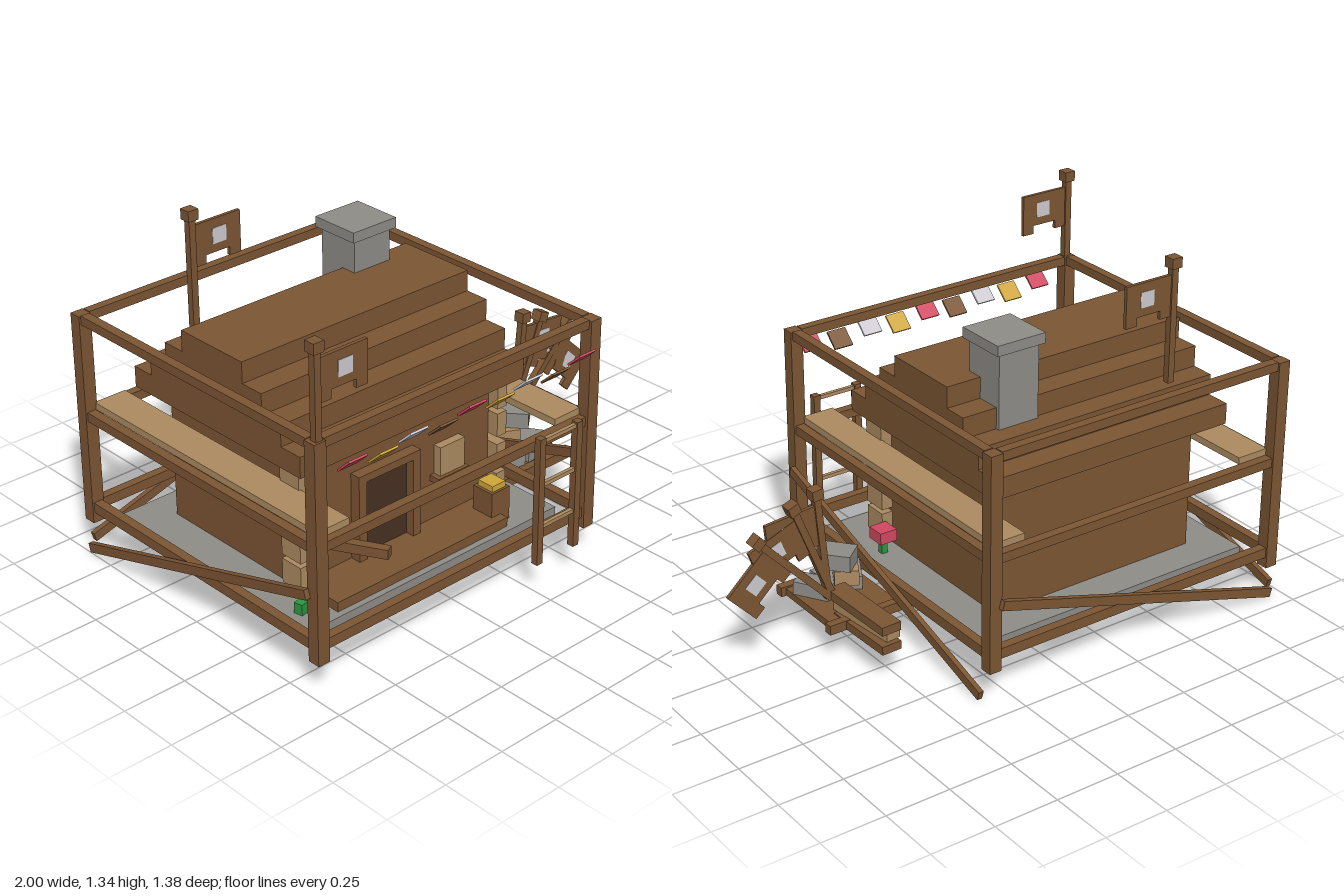
import * as THREE from 'three';

const paint = (name, color) => {
  const m = new THREE.MeshStandardMaterial({ color });
  m.name = name;
  return m;
};

export function createModel() {
  const root = new THREE.Group();
  const brown = paint('brown wood', 0x7b5533);
  const dark = paint('dark wood', 0x473022);
  const tan = paint('tan wood', 0xac8a60);
  const grey = paint('grey stone', 0x8e8c87);
  const red = paint('red', 0xd04860);
  const yellow = paint('yellow', 0xcfa63a);
  const white = paint('pale cloth', 0xcccad0);
  const green = paint('green', 0x2f9440);

  // Box from its limits
  const box = (name, mat, x0, x1, y0, y1, z0, z1, parent = root) => {
    const m = new THREE.Mesh(new THREE.BoxGeometry(x1 - x0, y1 - y0, z1 - z0), mat);
    m.position.set((x0 + x1) / 2, (y0 + y1) / 2, (z0 + z1) / 2);
    m.name = name;
    parent.add(m);
    return m;
  };
  // Box from its centre, turned about y
  const turned = (name, mat, [x, y, z], [w, h, d], turn) => {
    const m = box(name, mat, x - w / 2, x + w / 2, y - h / 2, y + h / 2, z - d / 2, z + d / 2);
    m.rotation.y = turn;
    return m;
  };

  // Stone base: a top plate with a thin rim, open below
  box('baseSlab', grey, -0.91, 0.28, 0.153, 0.163, -0.54, 0.5);
  for (const [x0, x1, z0, z1] of [[-0.91, 0.28, 0.492, 0.5], [-0.91, 0.28, -0.54, -0.532],
    [-0.91, -0.902, -0.532, 0.492], [0.272, 0.28, -0.532, 0.492]])
    box('baseRim', grey, x0, x1, 0.12, 0.153, z0, z1);

  // Outer timber frame: four posts joined by three levels of rails
  const L = -0.98, R = 0.345, F = 0.627, B = -0.667, T = 0.05;
  for (const x of [L, R - T]) for (const z of [B, F - T])
    box('post', brown, x, x + T, 0.12, 0.957, z, z + T);
  for (const [y0, y1] of [[0.163, 0.203], [0.54, 0.576], [0.925, 0.96]]) {
    for (const z of [B + 0.007, F - T + 0.003])
      box('crossRail', brown, L + T, R - T, y0, y1, z, z + 0.036);
    for (const x of [L + 0.007, R - T + 0.007])
      box('sideRail', brown, x, x + 0.036, y0, y1, B + T, F - T);
  }
  // Side walkways
  box('walkway', tan, -0.935, -0.8, 0.575, 0.602, -0.625, 0.585);
  box('walkway', tan, 0.17, 0.3, 0.575, 0.602, -0.625, 0.585);

  // Diagonal braces on both sides and the back
  for (const x of [-0.99, 0.355]) {
    const m = box('sideBrace', brown, x - 0.01, x + 0.01, 0.187, 0.223, -0.655, 0.615);
    m.rotation.x = -0.297;
  }
  box('backBrace', brown, -0.97, 0.33, 0.187, 0.223, -0.688, -0.667).rotation.z = 0.287;

  // House body and stepped roof
  box('houseWalls', brown, -0.76, 0.13, 0.163, 0.685, -0.405, 0.295);
  [[-0.5, 0.39], [-0.405, 0.295], [-0.315, 0.2], [-0.22, 0.103]].forEach(([z0, z1], i) =>
    box('roofStep', brown, -0.84, 0.207, 0.68 + i * 0.081, 0.761 + i * 0.081, z0, z1));

  // Corner stones against the sides of the house front
  for (const [x0, x1] of [[-0.808, -0.76], [0.13, 0.176]])
    for (const [y0, y1] of [[0.56, 0.673], [0.447, 0.54], [0.312, 0.415], [0.2, 0.295]])
      box('cornerStone', tan, x0, x1, y0, y1, 0.245, 0.342);

  // Chimney
  box('chimney', grey, -0.105, 0.065, 0.84, 1.135, -0.33, -0.155);
  box('chimneyCap', grey, -0.122, 0.083, 1.13, 1.17, -0.345, -0.14);

  // Porch, door and its frame
  box('porch', brown, -0.76, 0.055, 0.163, 0.2, 0.29, 0.475);
  box('doorJamb', brown, -0.535, -0.5, 0.2, 0.51, 0.29, 0.338);
  box('doorJamb', brown, -0.28, -0.245, 0.2, 0.51, 0.29, 0.338);
  box('doorLintel', brown, -0.535, -0.245, 0.51, 0.54, 0.29, 0.338);
  box('door', dark, -0.5, -0.28, 0.2, 0.51, 0.294, 0.302);

  // Window with sill and planter
  box('window', tan, -0.14, -0.02, 0.385, 0.5, 0.29, 0.328);
  box('windowSill', brown, -0.16, -0.01, 0.362, 0.385, 0.29, 0.342);
  box('planter', yellow, -0.125, -0.035, 0.32, 0.362, 0.29, 0.342);

  // Beam sticking out of the wall, and a crate with a yellow lid
  turned('wallBeam', brown, [-0.67, 0.36, 0.4], [0.035, 0.037, 0.34], 0.5);
  box('crate', brown, 0.01, 0.1, 0.163, 0.297, 0.345, 0.44);
  box('crateLid', yellow, 0.022, 0.088, 0.297, 0.32, 0.357, 0.43);

  // Ladder
  for (const x of [-0.01, 0.175]) box('ladderRail', brown, x, x + 0.028, 0.12, 0.627, 0.66, 0.688);
  for (const y of [0.26, 0.43, 0.605]) box('ladderRung', tan, 0.018, 0.175, y, y + 0.015, 0.667, 0.682);

  // Row of tilted pennants
  const cloth = [red, yellow, white, brown];
  for (let i = 0; i < 9; i++) {
    const x = -0.85 + i * 0.133, y = i % 2 ? 0.838 : 0.86;
    box('pennant', cloth[i % 4], x - 0.04, x + 0.04, y - 0.038, y + 0.038, 0.656, 0.664).rotation.x = 0.82;
  }

  // Flag whose origin is the cap; the cloth has a notch in its lower edge
  const shape = new THREE.Shape([[0, -0.045], [0.215, -0.045], [0.215, -0.205], [0.165, -0.205],
    [0.165, -0.172], [0.06, -0.172], [0.06, -0.205], [0, -0.205]].map(p => new THREE.Vector2(...p)));
  const clothGeo = new THREE.ExtrudeGeometry(shape, { depth: 0.014, bevelEnabled: false });
  clothGeo.translate(0, 0, -0.007);
  const flag = (x, y, z, length, lean = 0) => {
    const g = new THREE.Group();
    g.name = 'flag';
    box('flagPole', brown, -0.0135, 0.0135, -length, 0, -0.0135, 0.0135, g);
    box('poleCap', brown, -0.022, 0.022, -0.02, 0.02, -0.022, 0.022, g);
    const c = new THREE.Mesh(clothGeo, brown);
    c.name = 'flagCloth';
    g.add(c);
    box('flagPatch', white, 0.09, 0.151, -0.14, -0.08, -0.0085, 0.0085, g);
    g.position.set(x, y, z);
    g.rotation.z = -lean;
    root.add(g);
  };
  flag(-0.952, 1.29, 0.605, 0.335);
  flag(-0.651, 1.323, -0.39, 0.465);
  // Three flags fanned out over the side platform
  flag(0.628, 0.635, -0.02, 0.43, 0.09);
  flag(0.725, 0.605, -0.022, 0.43, 0.37);
  flag(0.873, 0.52, -0.024, 0.43, 0.75);

  // Side platform with edge boards
  box('platform', brown, 0.345, 0.63, 0.122, 0.15, -0.12, 0.215);
  for (const z of [-0.13, 0.2]) box('platformEdge', brown, 0.275, 0.65, 0.12, 0.157, z, z + 0.033);

  // Narrow layered plank stack on the platform
  turned('stackBottom', brown, [0.54, 0.138, -0.2], [0.08, 0.033, 0.3], 0.03);
  turned('stackMiddle', tan, [0.53, 0.178, -0.18], [0.06, 0.045, 0.3], 0.1);
  turned('stackTop', brown, [0.542, 0.217, -0.18], [0.08, 0.034, 0.345], 0.03);

  // Heap of stones
  turned('stone', grey, [0.415, 0.177, 0.12], [0.1, 0.052, 0.14], -0.5);
  turned('stone', grey, [0.49, 0.177, 0.13], [0.08, 0.052, 0.12], 0.1);
  turned('stone', grey, [0.56, 0.177, 0.11], [0.08, 0.052, 0.14], 0.55);
  turned('tanStone', tan, [0.46, 0.234, 0.06], [0.09, 0.06, 0.12], -0.5);
  turned('stone', grey, [0.49, 0.297, 0.07], [0.1, 0.062, 0.13], 0.7);

  // Plants
  box('flowerStem', green, 0.19, 0.215, 0.121, 0.22, 0.19, 0.215);
  box('flowerHead', red, 0.165, 0.237, 0.218, 0.265, 0.165, 0.24);
  turned('shrub', green, [-0.8, 0.16, 0.4], [0.04, 0.09, 0.04], 0.4);
  turned('shrub', green, [-0.85, 0.175, 0.39], [0.035, 0.06, 0.035], 0.2);

  return root;
}
